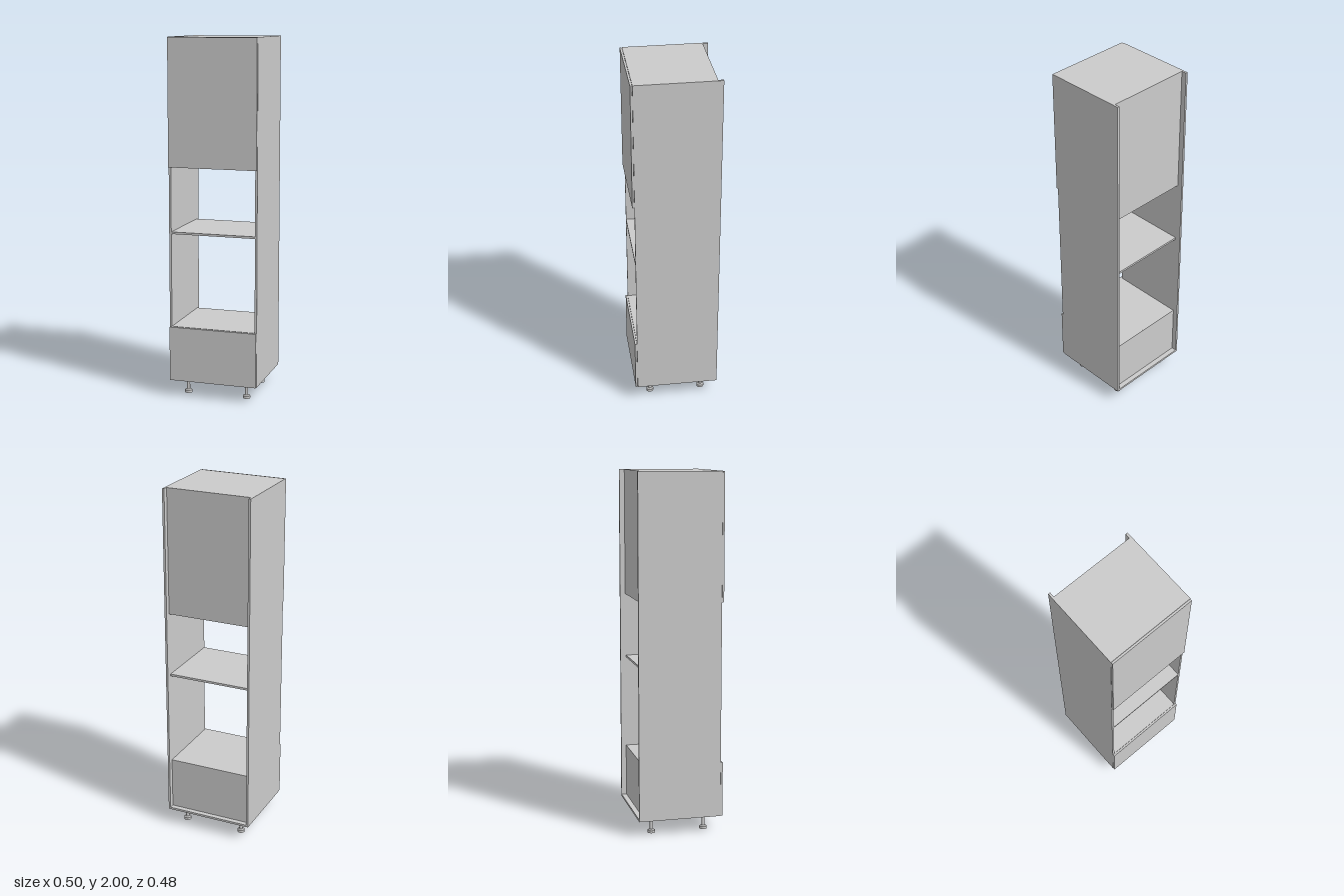
import * as THREE from 'three';

const material = new THREE.MeshStandardMaterial({ color: 0xcccccc });

// Box given by its limits on each axis
function panel(name, [x0, x1], [y0, y1], [z0, z1]) {
  const mesh = new THREE.Mesh(new THREE.BoxGeometry(x1 - x0, y1 - y0, z1 - z0), material);
  mesh.position.set((x0 + x1) / 2, (y0 + y1) / 2, (z0 + z1) / 2);
  mesh.name = name;
  return mesh;
}

// Adjustable foot: floor pad, threaded stem, mounting flange
function createLeg(name, x, z) {
  const leg = new THREE.Group();
  leg.name = name;
  const sections = [
    ['pad', 0.021, 0.021, 0, 0.014],
    ['padCollar', 0.012, 0.019, 0.014, 0.02],
    ['stem', 0.0095, 0.0095, 0.02, 0.076],
    ['flange', 0.021, 0.021, 0.076, 0.09],
  ];
  for (const [part, rTop, rBottom, y0, y1] of sections) {
    const mesh = new THREE.Mesh(new THREE.CylinderGeometry(rTop, rBottom, y1 - y0, 24), material);
    mesh.position.y = (y0 + y1) / 2;
    mesh.name = part;
    leg.add(mesh);
  }
  leg.position.set(x, 0, z);
  return leg;
}

export function createModel() {
  const cabinet = new THREE.Group();
  cabinet.name = 'tallOvenCabinet';

  const outer = 0.252, t = 0.012, inner = outer - t;
  const bottom = 0.09, top = 2;
  const back = -0.238, recess = -0.209, front = 0.226;
  const span = [-inner, inner];

  // Side walls
  cabinet.add(panel('leftSide', [inner, outer], [bottom, top], [back, front]));
  cabinet.add(panel('rightSide', [-outer, -inner], [bottom, top], [back, front]));

  // Full-depth floor, then roof and shelves that stop at the back panels
  cabinet.add(panel('floor', span, [bottom, bottom + t], [back, front]));
  const boards = { roof: 2, upperShelf: 1.307, middleShelf: 0.937, lowerShelf: 0.4 };
  for (const [name, y] of Object.entries(boards)) {
    cabinet.add(panel(name, span, [y - t, y], [recess + 0.003, front]));
  }

  // Thin recessed back panels; the appliance bays stay open
  const backDepth = [recess, recess + 0.003];
  cabinet.add(panel('upperBack', span, [1.295, top], backDepth));
  cabinet.add(panel('lowerBack', span, [bottom + t, 0.4], backDepth));

  // Overlay fronts
  const doorDepth = [front + 0.001, 0.238];
  cabinet.add(panel('upperDoor', [-0.2505, 0.2505], [1.296, 1.998], doorDepth));
  cabinet.add(panel('drawerFront', [-0.2505, 0.2505], [bottom + 0.001, 0.398], doorDepth));

  // Four feet
  for (const [sideName, x] of [['Left', 0.172], ['Right', -0.172]]) {
    cabinet.add(createLeg('front' + sideName + 'Leg', x, 0.147));
    cabinet.add(createLeg('back' + sideName + 'Leg', x, -0.153));
  }
  return cabinet;
}
